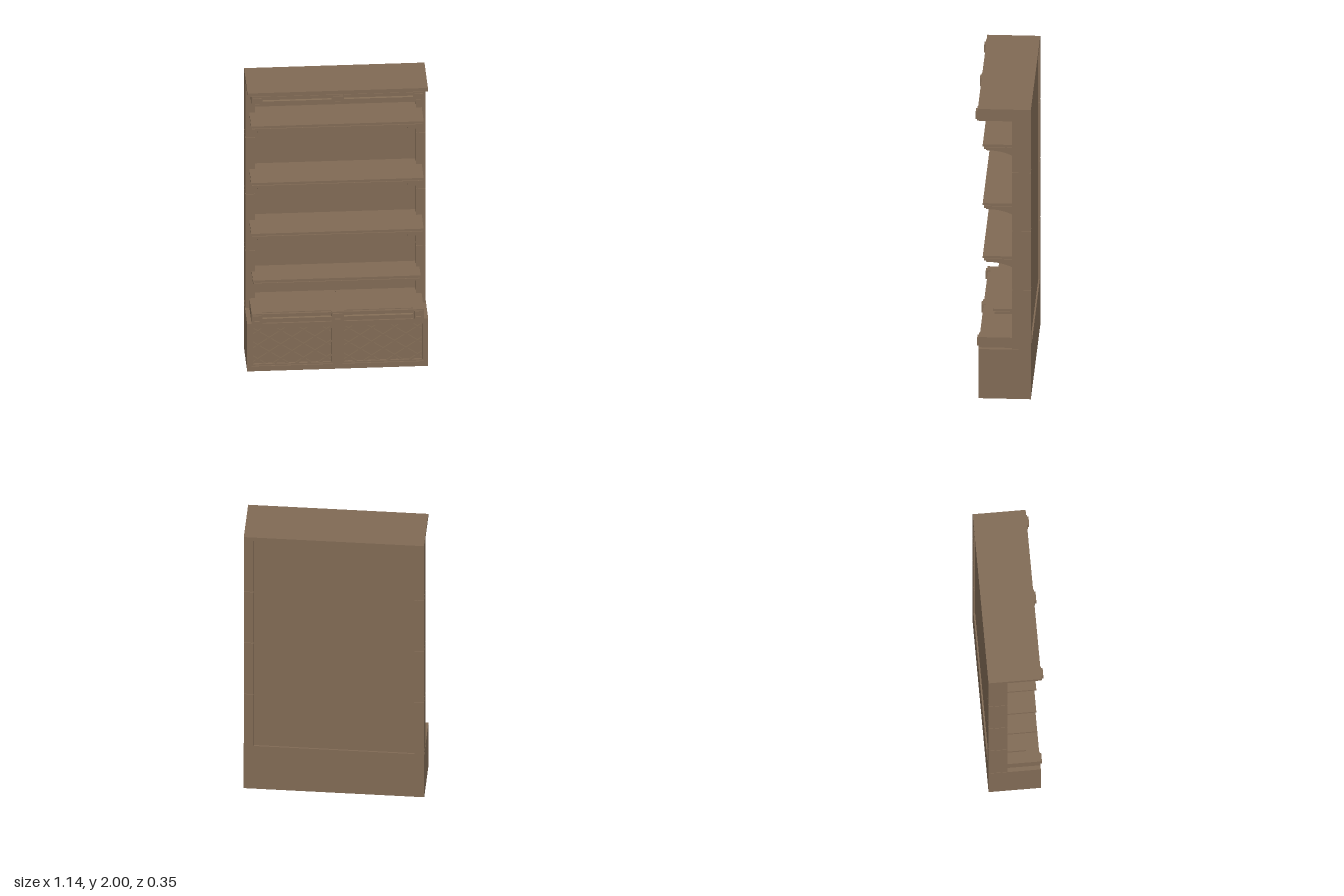
import * as THREE from 'three';

export function createModel() {
  const root = new THREE.Group();
  root.name = 'shelvingUnit';
  const wood = new THREE.MeshStandardMaterial({ color: 0x806a54 });
  wood.name = 'brown wood';

  const add = (name, geometry, parent = root) => {
    const mesh = new THREE.Mesh(geometry, wood);
    mesh.name = name;
    parent.add(mesh);
    return mesh;
  };
  // Box given by its limits on each axis
  const box = (name, x0, x1, y0, y1, z0, z1, parent) => {
    const g = new THREE.BoxGeometry(x1 - x0, y1 - y0, z1 - z0);
    g.translate((x0 + x1) / 2, (y0 + y1) / 2, (z0 + z1) / 2);
    return add(name, g, parent);
  };
  // Side outline of [z, y] points, extended along x
  const profile = (name, points, width, x, parent) => {
    const shape = new THREE.Shape(points.map(([z, y]) => new THREE.Vector2(z, y)));
    const g = new THREE.ExtrudeGeometry(shape, { depth: width, bevelEnabled: false });
    g.translate(0, 0, -width / 2);
    g.rotateY(-Math.PI / 2);
    g.translate(x, 0, 0);
    return add(name, g, parent);
  };

  // Base cabinet with a framed front
  box('baseBody', -0.572, 0.572, 0, 0.34, -0.175, 0.132);
  const frame = new THREE.Shape();
  frame.moveTo(-0.572, 0).lineTo(0.572, 0).lineTo(0.572, 0.34).lineTo(-0.572, 0.34).closePath();
  const x0 = 0.03, x1 = 0.545, y0 = 0.035, y1 = 0.312;
  for (const s of [-1, 1]) {
    const hole = new THREE.Path();
    hole.moveTo(s * x0, y0).lineTo(s * x1, y0).lineTo(s * x1, y1).lineTo(s * x0, y1).closePath();
    frame.holes.push(hole);
  }
  const frameGeometry = new THREE.ExtrudeGeometry(frame, { depth: 0.025, bevelEnabled: false });
  frameGeometry.translate(0, 0, 0.131);
  add('baseFrame', frameGeometry);

  // Crossed lattice strips, cut to each opening
  const slope = 0.69;
  for (const side of [-1, 1]) {
    const lattice = new THREE.Group();
    lattice.name = side > 0 ? 'leftLattice' : 'rightLattice';
    root.add(lattice);
    const w = (x1 - x0) / 2, h = (y1 - y0) / 2;
    for (const dir of [-1, 1]) {
      for (let i = -5; i <= 5; i++) {
        const c = i * 0.1 + 0.05;
        const a = Math.max(-w, (-h - c) / slope), b = Math.min(w, (h - c) / slope);
        if (b - a < 0.01) continue;
        const strip = add('latticeStrip', new THREE.BoxGeometry(
          (b - a) * Math.hypot(1, slope), 0.013, 0.012), lattice);
        strip.position.set(side * (x0 + x1) / 2 + dir * (a + b) / 2,
          (y0 + y1) / 2 + slope * (a + b) / 2 + c, 0.138 + dir * 0.001);
        strip.rotation.z = dir * Math.atan(slope);
      }
    }
    // Inner trim of the opening
    const cx = side * (x0 + x1) / 2;
    for (const y of [y0, y1 - 0.01]) box('latticeTrim', cx - w, cx + w, y, y + 0.01, 0.13, 0.148, lattice);
    for (const x of [cx - w, cx + w - 0.01]) box('latticeTrim', x, x + 0.01, y0, y1, 0.13, 0.148, lattice);
  }

  // Moulded rail with three square rosette blocks
  const rail = (name, y, z) => {
    const group = new THREE.Group();
    group.name = name;
    root.add(group);
    profile('railMoulding', [[-0.135, y], [z - 0.012, y], [z - 0.012, y + 0.017], [z - 0.004, y + 0.02],
      [z - 0.004, y + 0.033], [z - 0.016, y + 0.036], [z - 0.016, y + 0.05], [z - 0.006, y + 0.054],
      [z - 0.006, y + 0.065], [-0.135, y + 0.065]], 1.02, 0, group);
    for (const x of [-0.51, 0, 0.51]) {
      const r = x ? 0.034 : 0.04, yc = y + 0.034;
      box('blockArm', x - r, x + r, y, y + 0.07, -0.06, z, group);
      const ring = new THREE.Shape();
      const hole = new THREE.Path();
      const a = r * 0.78, b = r * 0.45;
      ring.moveTo(-a, -0.026).lineTo(a, -0.026).lineTo(a, 0.026).lineTo(-a, 0.026).closePath();
      hole.moveTo(-b, -0.014).lineTo(b, -0.014).lineTo(b, 0.014).lineTo(-b, 0.014).closePath();
      ring.holes.push(hole);
      const g = new THREE.ExtrudeGeometry(ring, { depth: 0.01, bevelEnabled: false });
      g.translate(x, yc, z - 0.001);
      add('blockRosette', g, group);
    }
  };
  rail('benchRail', 0.34, 0.157);
  box('benchTop', -0.51, -0.002, 0.39, 0.41, -0.13, 0.135);
  box('benchTop', 0.002, 0.51, 0.39, 0.41, -0.13, 0.135);
  rail('crownRail', 1.907, 0.166);
  box('topSlab', -0.57, 0.57, 1.974, 2, -0.175, 0.16);

  // Back panel and jointed posts
  box('backPanel', -0.515, 0.515, 0.33, 1.98, -0.165, -0.13);
  for (const s of [-1, 1]) {
    const post = new THREE.Group();
    post.name = s > 0 ? 'leftPost' : 'rightPost';
    root.add(post);
    const span = (inner, outer) => [Math.min(s * inner, s * outer), Math.max(s * inner, s * outer)];
    box('postCore', ...span(0.514, 0.566), 0.33, 1.98, -0.17, -0.06, post);
    const joints = [0.337, 0.752, 1.16, 1.566, 1.978];
    for (let i = 0; i < 4; i++) {
      box('postSegment', ...span(0.51, 0.57), joints[i] + 0.003, joints[i + 1] - 0.003, -0.175, -0.055, post);
    }
  }

  // Stepped shelf board: outer part overhangs the posts, inner part fits between them
  const shelf = (name, top, front, half, thick) => {
    const group = new THREE.Group();
    group.name = name;
    root.add(group);
    const steps = [[0, 0.4, 0], [0.4, 0.65, 0.014], [0.65, 1, 0.007]];
    for (const [a, b, inset] of steps) {
      box('shelfBoard', -half + inset, half - inset, top - thick * b, top - thick * a, -0.055, front - inset, group);
    }
    box('shelfInner', -0.511, 0.511, top - thick, top, -0.132, -0.05, group);
    return group;
  };

  // Three bracketed shelves
  for (const top of [1.745, 1.338, 0.973]) {
    const group = shelf('bracketedShelf', top, 0.13, 0.545, 0.036);
    const points = [[-0.131, top - 0.03], [0.112, top - 0.03], [0.112, top - 0.058]];
    for (let i = 0; i <= 8; i++) {
      const t = i / 8;
      points.push([0.085 - 0.14 * t, top - 0.06 - 0.033 * t * t]);
    }
    points.push([-0.131, top - 0.093]);
    for (const x of [-0.474, 0, 0.474]) {
      profile('shelfBracket', points, x ? 0.062 : 0.046, x, group);
      box('bracketCap', x - 0.045, x + 0.045, top - 0.045, top - 0.03, -0.13, 0.115, group);
    }
  }
  // Shallow lowest shelf
  shelf('lowShelf', 0.602, 0.065, 0.53, 0.038);

  return root;
}
